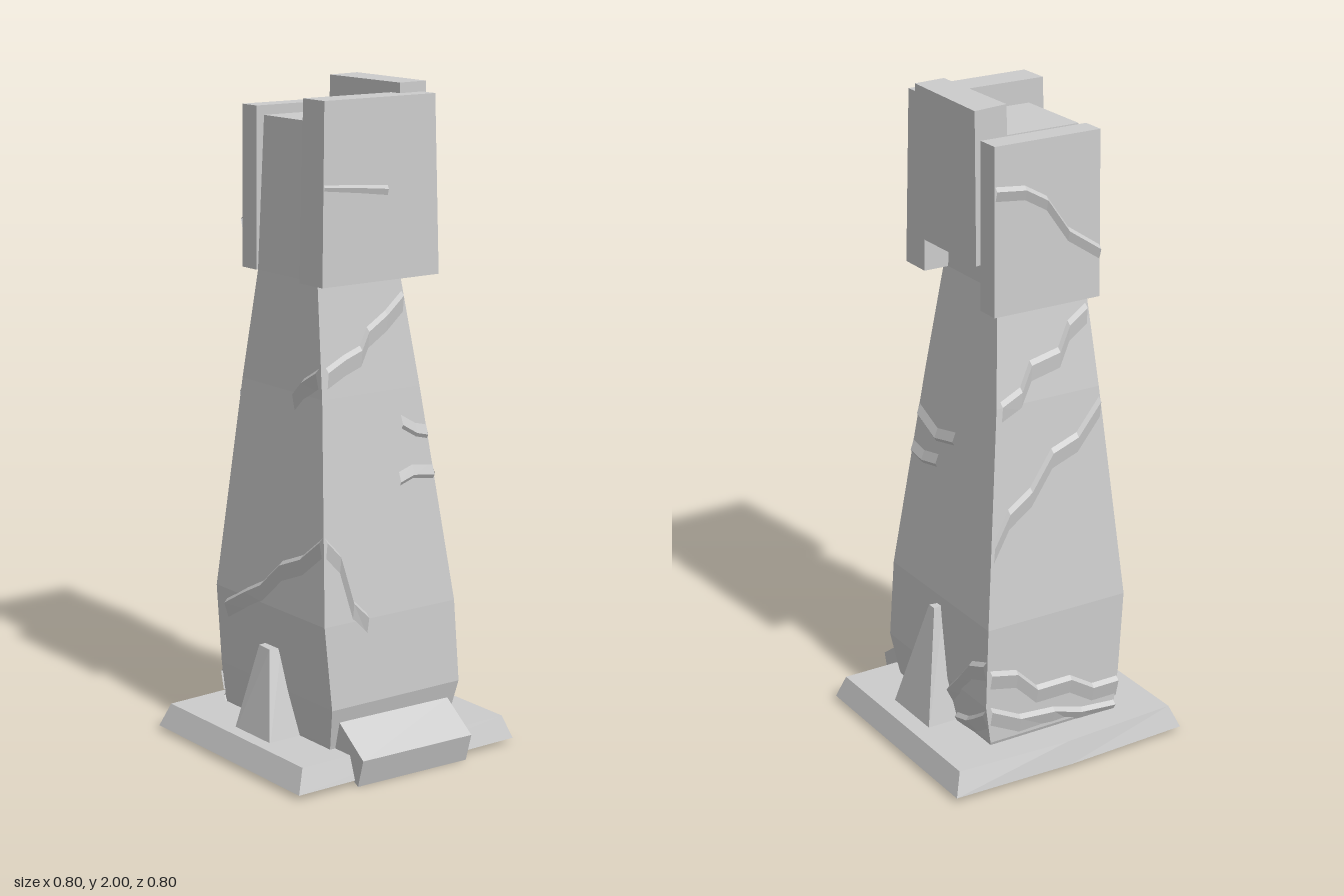
import * as THREE from 'three';

const stone = new THREE.MeshStandardMaterial({ color: 0xcccccc, flatShading: true });
const thinStone = new THREE.MeshStandardMaterial({ color: 0xcccccc, flatShading: true, side: THREE.DoubleSide });

function makeMesh(name, pos, material) {
  const g = new THREE.BufferGeometry();
  g.setAttribute('position', new THREE.Float32BufferAttribute(pos, 3));
  g.computeVertexNormals();
  const m = new THREE.Mesh(g, material);
  m.name = name;
  return m;
}

// Joins loops of [x, y, z] corners; loops run counter-clockwise seen from above
function loft(name, rings, { bottom = true, material = stone } = {}) {
  const pos = [];
  const tri = (a, b, c) => pos.push(...a, ...b, ...c);
  const n = rings[0].length;
  for (let k = 0; k < rings.length - 1; k++) {
    for (let i = 0; i < n; i++) {
      const j = (i + 1) % n;
      tri(rings[k][i], rings[k][j], rings[k + 1][j]);
      tri(rings[k][i], rings[k + 1][j], rings[k + 1][i]);
    }
  }
  const top = rings[rings.length - 1], base = rings[0];
  for (let i = 1; i < n - 1; i++) {
    tri(top[0], top[i], top[i + 1]);
    if (bottom) tri(base[0], base[i + 1], base[i]);
  }
  return makeMesh(name, pos, material);
}

// Rectangle loop at height y
const rect = (y, x0, x1, z0, z1) => [[x0, y, z1], [x1, y, z1], [x1, y, z0], [x0, y, z0]];
const loop = (y, pts) => pts.map(([x, z]) => [x, y, z]);

// Pillar sections: y, xMin, xMax, zMin, zMax
const sections = [
  [0.03, -0.21, 0.2, -0.26, 0.24],
  [0.1, -0.22, 0.22, -0.285, 0.255],
  [0.22, -0.235, 0.235, -0.285, 0.285],
  [0.47, -0.252, 0.225, -0.283, 0.272],
  [1.12, -0.207, 0.145, -0.2, 0.2],
  [1.45, -0.19, 0.105, -0.14, 0.155],
  [1.9, -0.172, 0.09, -0.13, 0.13],
];

// Extent of the pillar at height y; side is the column of the table
function extent(y, side) {
  let k = 0;
  while (k < sections.length - 2 && y > sections[k + 1][0]) k++;
  const a = sections[k], b = sections[k + 1];
  return THREE.MathUtils.lerp(a[side], b[side], (y - a[0]) / (b[0] - a[0]));
}

// Chipped ledge along a crack; at(u, y, out) gives a point on a wall
function ledge(name, path, at, dir = -1, out = 0.012, tail = 0.07) {
  const pos = [];
  const rows = path.map(([u, y]) => [
    at(u, y, -0.002), at(u, y + dir * 0.014, out), at(u, y + dir * tail, -0.002)]);
  for (let i = 0; i < rows.length - 1; i++) {
    for (let k = 0; k < 2; k++) {
      const a = rows[i][k], b = rows[i + 1][k], c = rows[i + 1][k + 1], d = rows[i][k + 1];
      pos.push(...a, ...d, ...c, ...a, ...c, ...b);
    }
  }
  return makeMesh(name, pos, thinStone);
}

const wall = {
  front: (u, y, o) => [u, y, extent(y, 4) + o],
  back: (u, y, o) => [u, y, extent(y, 3) - o],
  left: (u, y, o) => [extent(y, 2) + o, y, u],
  right: (u, y, o) => [extent(y, 1) - o, y, u],
};

export function createModel() {
  const group = new THREE.Group();

  // Hollow flared base with a slightly bowed back
  group.add(loft('basePlinth', [
    loop(0.02, [[-0.4, 0.35], [0.4, 0.345], [0.4, -0.39], [0.01, -0.402], [-0.4, -0.387]]),
    loop(0.09, [[-0.37, 0.325], [0.375, 0.322], [0.375, -0.365], [0.01, -0.385], [-0.37, -0.365]]),
  ], { bottom: false, material: thinStone }));

  // Tapering pillar
  group.add(loft('pillar', sections.map((s) => rect(...s))));

  // Slabs around the head
  group.add(loft('frontHeadSlab', [
    [[-0.235, 1.45, 0.24], [0.185, 1.45, 0.235], [0.185, 1.45, 0.13], [-0.235, 1.45, 0.13]],
    [[-0.22, 1.97, 0.23], [0.175, 1.97, 0.225], [0.175, 1.97, 0.13], [-0.22, 1.97, 0.13]],
  ]));
  group.add(loft('leftHeadSlab', [
    loop(1.555, [[0.08, 0.178], [0.2, 0.175], [0.2, -0.182], [0.08, -0.165]]),
    loop(2, [[0.09, 0.17], [0.19, 0.162], [0.203, -0.182], [0.09, -0.165]]),
  ]));
  group.add(loft('backHeadSlab', [
    rect(1.435, -0.145, 0.205, -0.287, -0.212),
    rect(1.92, -0.15, 0.195, -0.272, -0.2),
  ]));
  group.add(loft('backHeadSpacer', [
    rect(1.5, -0.125, 0.14, -0.22, -0.12),
    rect(1.84, -0.12, 0.14, -0.205, -0.12),
  ]));

  // Leaning slab at the foot of the front
  const side = [[0.23, 0.09], [0.375, 0.005], [0.4, 0.09], [0.285, 0.175]];
  const [a, b, c, d] = side.map(([z, y]) => [[-0.2, y, z - 0.012], [0.192, y, z]]);
  group.add(loft('frontFootSlab', [
    [b[0], b[1], a[1], a[0]],
    [c[0], c[1], d[1], d[0]],
  ]));

  // Buttress shards on both sides
  group.add(loft('leftShard', [
    rect(0.06, 0.18, 0.325, -0.1, 0.12),
    loop(0.44, [[0.215, 0.005], [0.252, 0.012], [0.252, -0.018], [0.215, -0.012]]),
  ]));
  group.add(loft('rightShard', [
    rect(0.06, -0.335, -0.19, -0.08, 0.11),
    loop(0.345, [[-0.272, 0.025], [-0.235, 0.03], [-0.235, -0.04], [-0.268, -0.035]]),
  ]));

  // Cracks on the pillar walls
  const cracks = [
    ['front', [[-0.185, 1.21], [-0.12, 1.24], [-0.06, 1.26], [-0.03, 1.31], [0.04, 1.35], [0.105, 1.4]]],
    ['front', [[-0.23, 0.73], [-0.185, 0.68], [-0.15, 0.54], [-0.1, 0.49]]],
    ['right', [[-0.23, 0.44], [-0.12, 0.5], [-0.04, 0.54], [0.05, 0.62], [0.15, 0.66], [0.24, 0.73]]],
    ['right', [[0.07, 1.13], [0.11, 1.17], [0.18, 1.21]]],
    ['back', [[0.13, 1.14], [0.06, 1.17], [0.02, 1.24], [-0.08, 1.26], [-0.12, 1.33], [-0.185, 1.37]]],
    ['back', [[0.19, 0.73], [0.13, 0.82], [0.05, 0.87], [-0.03, 0.97], [-0.12, 1.0], [-0.205, 1.09]]],
    ['back', [[0.22, 0.34], [0.13, 0.32], [0.06, 0.25], [-0.06, 0.25], [-0.14, 0.2], [-0.23, 0.2]]],
    ['back', [[0.22, 0.22], [0.12, 0.17], [0, 0.16], [-0.1, 0.13], [-0.22, 0.12]]],
    ['left', [[-0.07, 0.2], [-0.14, 0.27], [-0.2, 0.34], [-0.28, 0.37]]],
    ['left', [[-0.1, 0.12], [-0.17, 0.14], [-0.22, 0.17], [-0.28, 0.21]]],
  ];
  for (const [face, path] of cracks) group.add(ledge(face + 'Crack', path, wall[face]));

  // Shallow overhanging chips meeting at the front left corner
  const chips = [
    ['front', [[0.07, 1.0], [0.12, 0.97], [0.16, 0.96]]],
    ['front', [[0.05, 0.835], [0.1, 0.85], [0.175, 0.84]]],
    ['left', [[0.21, 0.96], [0.1, 0.92], [0, 0.94]]],
    ['left', [[0.225, 0.84], [0.16, 0.83], [0.08, 0.845]]],
  ];
  for (const [face, path] of chips) group.add(ledge(face + 'Chip', path, wall[face], 1, 0.008, 0.05));

  // Cracks on the head slabs
  group.add(ledge('frontSlabCrack', [[-0.225, 1.745], [-0.1, 1.735], [0, 1.725]],
    (u, y, o) => [u, y, 0.232 + o], -1, 0.006, 0.04));
  group.add(ledge('backSlabCrack',
    [[0.195, 1.81], [0.1, 1.8], [0.03, 1.76], [-0.04, 1.66], [-0.145, 1.59]],
    (u, y, o) => [u, y, -0.287 + (y - 1.435) * 0.031 - o], -1, 0.01, 0.05));

  return group;
}
